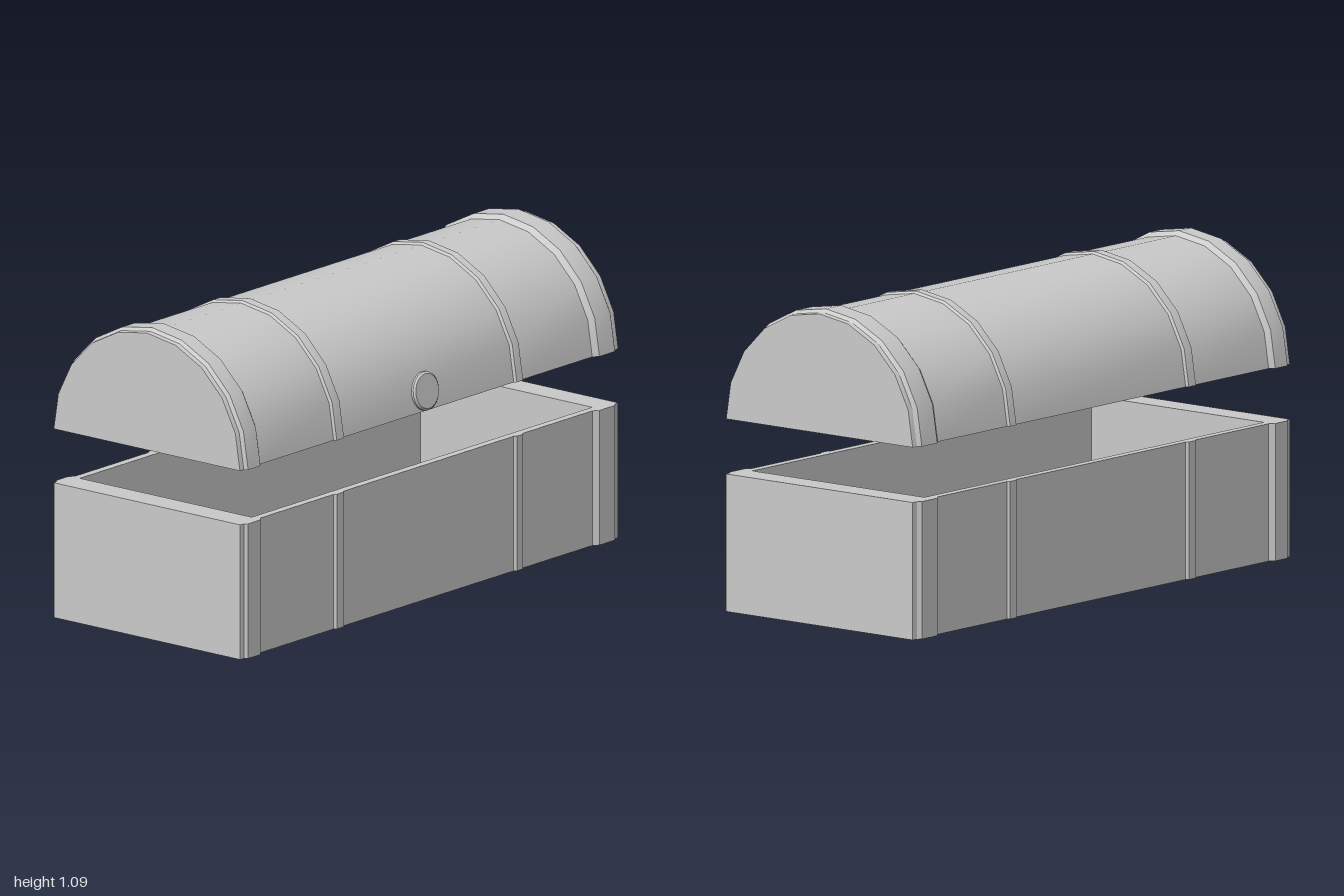
import * as THREE from 'three';
import { toCreasedNormals } from 'three/addons/utils/BufferGeometryUtils.js';

// Outer wall profile along the length: [x, distance from the centre line]
const OUTER = [
  [-1, 0.412], [-0.982, 0.414], [-0.972, 0.425], [-0.907, 0.425], [-0.89, 0.41],
  [-0.502, 0.41], [-0.495, 0.418], [-0.457, 0.418], [-0.45, 0.41],
  [0.45, 0.41], [0.457, 0.418], [0.49, 0.418], [0.497, 0.41],
  [0.865, 0.41], [0.885, 0.425], [0.967, 0.425], [0.98, 0.414], [1, 0.412],
];
const BOX_INNER = [[-0.9, 0.38], [0.9, 0.38]];
// Lid lining, with a shallow rib behind each strap
const LID_INNER = [
  [-0.9, 0.378], [-0.5, 0.378], [-0.495, 0.368], [-0.455, 0.368], [-0.45, 0.378],
  [0.45, 0.378], [0.455, 0.368], [0.495, 0.368], [0.5, 0.378], [0.9, 0.378],
];
const BOX_HEIGHT = 0.475;
const LID_Y = 0.665;

// Mirrored profile as a closed outline
const outline = (p) => [
  ...p.map(([x, r]) => new THREE.Vector2(x, -r)),
  ...[...p].reverse().map(([x, r]) => new THREE.Vector2(x, r)),
];

// Plan of the walls, open in the middle
function plan(inner) {
  const shape = new THREE.Shape(outline(OUTER));
  shape.holes.push(new THREE.Path(outline(inner).reverse()));
  return shape;
}

export function createModel() {
  const material = new THREE.MeshStandardMaterial({ color: 0xcccccc });
  const chest = new THREE.Group();
  chest.name = 'chest';

  function add(parent, name, geometry) {
    const mesh = new THREE.Mesh(geometry, material);
    mesh.name = name;
    parent.add(mesh);
    return mesh;
  }

  // Lower box: walls with corner bands and straps, plus a floor
  const box = new THREE.Group();
  box.name = 'box';
  add(box, 'boxWalls', new THREE.ExtrudeGeometry(plan(BOX_INNER), { depth: BOX_HEIGHT, bevelEnabled: false })
    .rotateX(-Math.PI / 2));
  add(box, 'boxFloor', new THREE.BoxGeometry(1.8, 0.05, 0.76).translate(0, 0.025, 0));

  // Raised lid: hollow half barrel of ten facets
  const lid = new THREE.Group();
  lid.name = 'lid';
  lid.position.y = LID_Y;
  const section = [
    [-1, 0], ...OUTER, [1, 0],
    [0.9, 0], ...[...LID_INNER].reverse(), [-0.9, 0],
  ].map(([x, r]) => new THREE.Vector2(r, x));
  // The cap-to-lining jumps on the axis have no area
  const barrel = new THREE.LatheGeometry(section, 10, Math.PI, Math.PI).rotateZ(-Math.PI / 2);
  add(lid, 'lidBarrel', toCreasedNormals(barrel, 0.5));
  add(lid, 'lidRim', new THREE.ShapeGeometry(plan(LID_INNER)).rotateX(Math.PI / 2));

  // Round lock plate with a bevelled edge, leaning with the lid
  const plate = [[0, -0.03], [0.067, -0.03], [0.067, 0.008], [0.06, 0.014], [0, 0.014]]
    .map(([r, y]) => new THREE.Vector2(r, y));
  const lock = add(lid, 'lockPlate',
    toCreasedNormals(new THREE.LatheGeometry(plate, 24).rotateX(Math.PI / 2), 0.5));
  lock.position.set(-0.01, 0.067, 0.399);
  lock.rotation.x = -Math.PI / 20;

  chest.add(box, lid);
  return chest;
}
